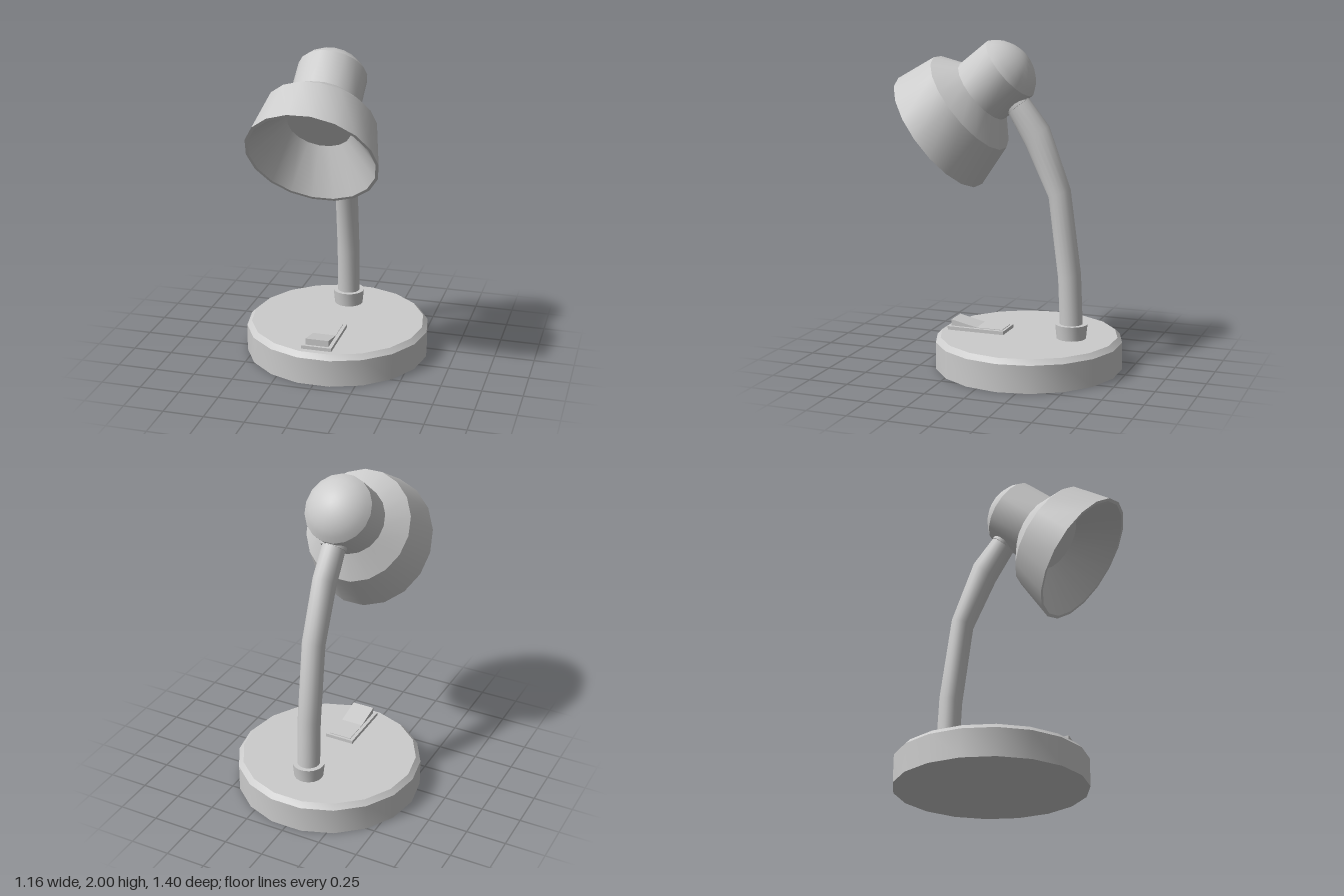
import * as THREE from 'three';
import { toCreasedNormals } from 'three/addons/utils/BufferGeometryUtils.js';

const material = new THREE.MeshStandardMaterial({ color: 0xcccccc });

function addPart(group, name, geometry) {
  const mesh = new THREE.Mesh(geometry, material);
  mesh.name = name;
  group.add(mesh);
  return mesh;
}

// Skin through rings; each ring is [z1, y1, z2, y2, rx]: two opposite points
// in the x = 0 plane and the half width along x.
function loft(rings, sides, crease = 0.6) {
  const pos = [], index = [];
  const stretch = 1 / Math.cos(Math.PI / sides); // flats lie on the two points
  rings.forEach(([z1, y1, z2, y2, rx], i) => {
    for (let k = 0; k < sides; k++) {
      const a = (k / sides) * Math.PI * 2;
      const s = Math.sin(a) * stretch / 2;
      pos.push(Math.cos(a) * rx, (y1 + y2) / 2 + s * (y1 - y2), (z1 + z2) / 2 + s * (z1 - z2));
      if (i === rings.length - 1) continue;
      const p = i * sides + k, q = i * sides + (k + 1) % sides;
      index.push(p, q, p + sides, q, q + sides, p + sides);
    }
  });
  const g = new THREE.BufferGeometry();
  g.setAttribute('position', new THREE.Float32BufferAttribute(pos, 3));
  g.setIndex(index);
  return toCreasedNormals(g, crease);
}

// Turned part with a vertical axis
function turned(profile, sides) {
  const points = profile.map(([r, y]) => new THREE.Vector2(r, y));
  return toCreasedNormals(new THREE.LatheGeometry(points, sides, Math.PI / 2), 0.6);
}

export function createModel() {
  const lamp = new THREE.Group();
  lamp.name = 'deskLamp';

  // Round base with a chamfered top edge
  addPart(lamp, 'base', turned([[0, 0], [0.58, 0], [0.58, 0.17], [0.55, 0.2], [0, 0.2]], 18))
    .position.z = -0.13;

  // Collar where the arm meets the base
  addPart(lamp, 'armCollar', turned([[0.09, 0.19], [0.1, 0.29], [0, 0.29]], 18))
    .position.z = -0.405;

  // Bent arm, from the base up into the lamp head
  addPart(lamp, 'arm', loft([
    [-0.478, 0.2, -0.338, 0.2, 0.071],
    [-0.46, 0.605, -0.322, 0.568, 0.071],
    [-0.39, 1.12, -0.258, 1.066, 0.071],
    [-0.252, 1.496, -0.114, 1.369, 0.071],
    [-0.122, 1.66, -0.003, 1.56, 0.071],
    [-0.09, 1.7, 0.03, 1.6, 0.071],
  ], 18, 0.8));

  // Thin ring around the joint under the head
  const flange = addPart(lamp, 'headJoint', new THREE.CylinderGeometry(0.079, 0.079, 0.06, 18));
  flange.position.set(0, 1.632, -0.048);
  flange.rotation.x = 0.69;

  // Head: domed back, cylindrical neck, flared shade, then the inner cone
  const head = [];
  const R = 0.242, edge = 1.042;
  for (let i = 0; i < 6; i++) {
    const phi = (i / 6) * edge;
    const r = R * Math.sin(phi);
    const d = R * (Math.cos(phi) - Math.cos(edge));
    const z = -0.008 - 0.773 * d, y = 1.838 + 0.634 * d;
    head.push([z + 0.634 * r, y + 0.773 * r, z - 0.634 * r, y - 0.773 * r, r]);
  }
  head.push(
    [0.125, 2.0, -0.141, 1.676, 0.21],    // back of neck
    [0.305, 1.857, 0.04, 1.528, 0.21],    // front of neck
    [0.469, 1.894, 0.04, 1.347, 0.335],   // shoulder
    [0.703, 1.761, 0.204, 1.109, 0.395],  // rim
    [0.691, 1.745, 0.216, 1.125, 0.377],  // inner lip
    [0.406, 1.737, 0.174, 1.437, 0.19],   // inner disc
    [0.29, 1.587, 0.29, 1.587, 0],
  );
  addPart(lamp, 'shade', loft(head, 18));

  // Switch: flat plate and tilted rocker
  const plate = addPart(lamp, 'switchPlate', new THREE.BoxGeometry(0.19, 0.03, 0.37));
  plate.position.set(0, 0.207, 0.19);
  const side = new THREE.Shape([[-0.358, 0.2], [-0.02, 0.2], [-0.02, 0.226], [-0.19, 0.225], [-0.358, 0.262]]
    .map(([a, b]) => new THREE.Vector2(a, b)));
  const rocker = addPart(lamp, 'switchRocker',
    new THREE.ExtrudeGeometry(side, { depth: 0.145, bevelEnabled: false }));
  rocker.rotation.y = Math.PI / 2; // shape x becomes -z
  rocker.position.x = -0.0725;

  return lamp;
}
